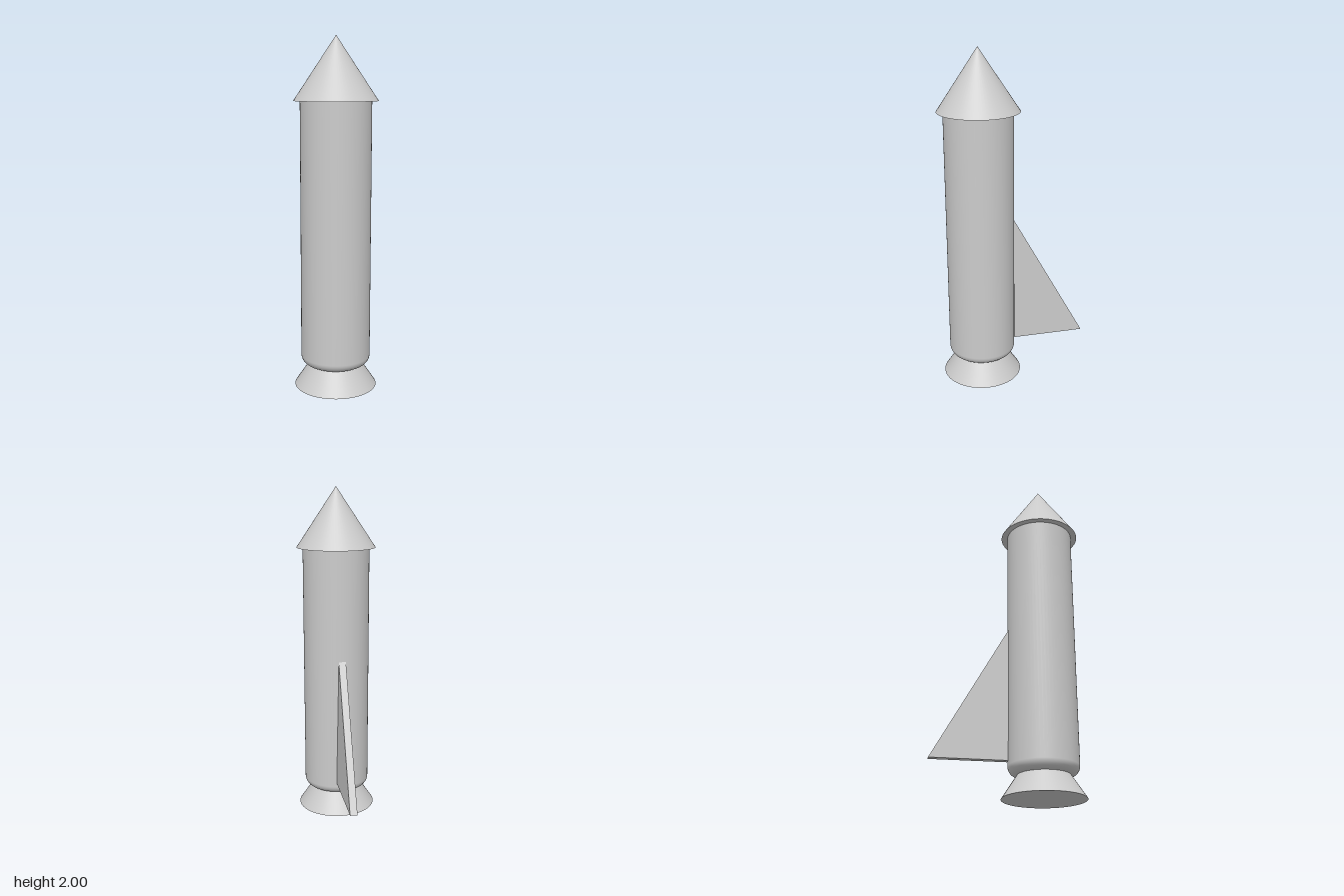
import * as THREE from 'three';

const SEGMENTS = 64;
const AXIS_Z = 0.2; // the rocket body stands forward of the fin

export function createModel() {
  const model = new THREE.Group();
  model.name = 'rocket';
  const material = new THREE.MeshStandardMaterial({ color: 0xcccccc });

  const add = (name, geometry, x, y, z) => {
    const mesh = new THREE.Mesh(geometry, material);
    mesh.name = name;
    mesh.position.set(x, y, z);
    model.add(mesh);
    return mesh;
  };

  // Body tube with a rounded lower rim
  const radius = 0.2, bottom = 0.13, top = 1.65, rim = 0.05;
  const profile = [new THREE.Vector2(0, bottom)];
  for (let i = 0; i <= 8; i++) {
    const a = (i / 8) * Math.PI / 2;
    profile.push(new THREE.Vector2(
      radius - rim + rim * Math.sin(a),
      bottom + rim - rim * Math.cos(a)
    ));
  }
  profile.push(new THREE.Vector2(radius, top));
  add('body', new THREE.LatheGeometry(profile, SEGMENTS), 0, 0, AXIS_Z);

  // Nose and engine nozzle are matching cones; the nozzle's tip is inside the body
  const coneHeight = 0.355;
  const cone = new THREE.ConeGeometry(0.237, coneHeight, SEGMENTS);
  add('noseCone', cone, 0, 2 - coneHeight / 2, AXIS_Z);
  add('engineNozzle', cone, 0, coneHeight / 2, AXIS_Z);

  // Triangular back fin, leaning very slightly sideways
  const span = 0.437, height = 0.78, thickness = 0.043;
  const outline = new THREE.Shape();
  outline.moveTo(0, 0);
  outline.lineTo(span, 0);
  outline.lineTo(0, height);
  outline.closePath();
  const finGeometry = new THREE.ExtrudeGeometry(outline, { depth: thickness, bevelEnabled: false });
  finGeometry.translate(0, 0, -thickness / 2);
  finGeometry.rotateY(Math.PI / 2); // outline now runs toward the back
  finGeometry.rotateZ(0.0175);
  add('fin', finGeometry, 0.0115, 0.205, 0);

  return model;
}
